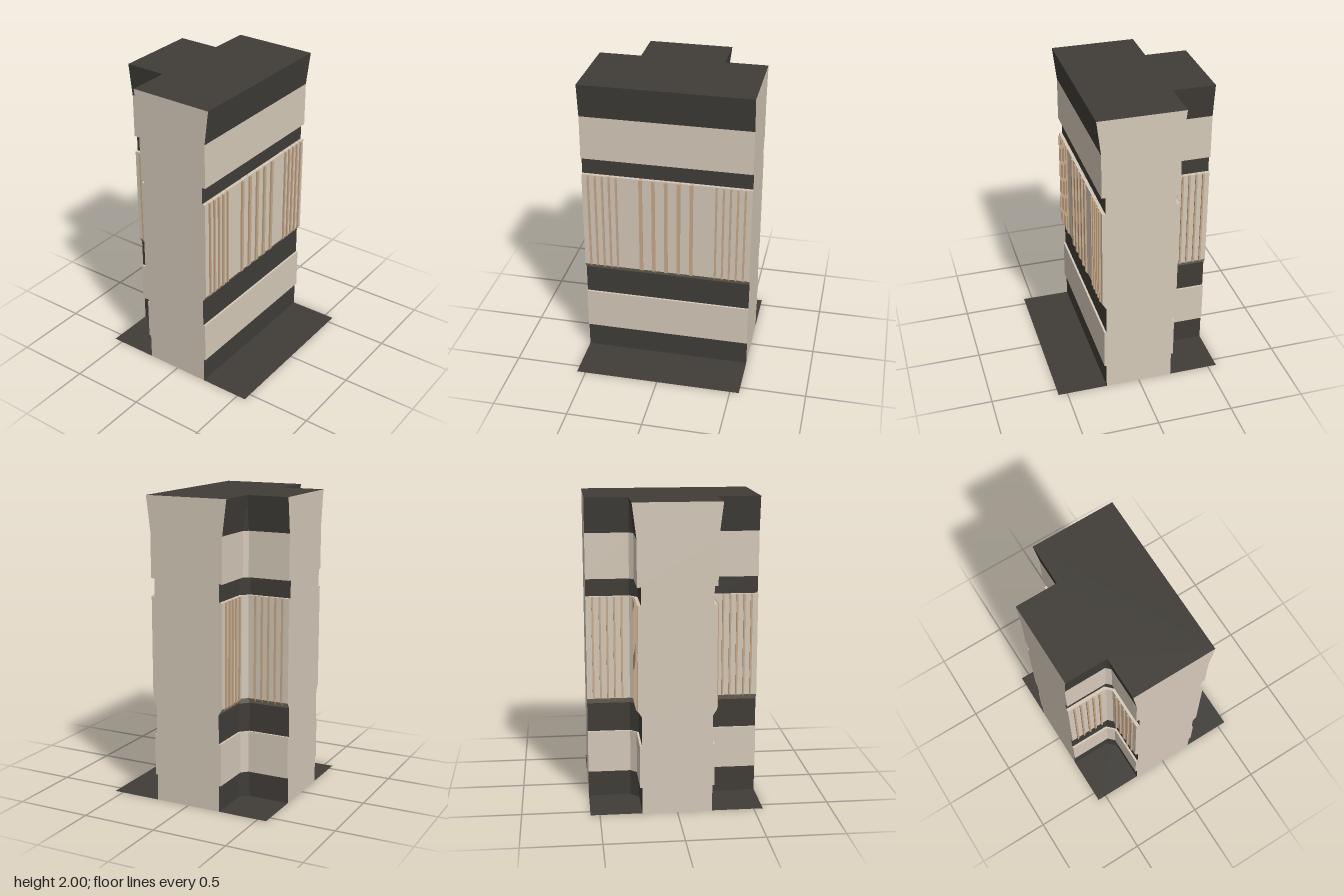
import * as THREE from 'three';

const HALF = 0.56, TOP = 0.28;
const BEIGE = 0xd5c9b9, DARK = 0x403d38, SILL = 0x8f8978, TAN = 0xc8a988;

const material = (color) => new THREE.MeshStandardMaterial({ color, flatShading: true });

// T-shaped plan with chamfered inner corners; w is the half thickness of both arms
const plan = (w) => [
  [w, HALF], [w, -HALF], [-w, -HALF], [-w, -TOP], [-TOP, -w],
  [-HALF, -w], [-HALF, w], [-TOP, w], [-w, TOP], [-w, HALF],
];
const END_EDGES = [1, 5, 9];

// Height, half thickness, and colour of the strip leading up to the next row
const ROWS = [
  [0, 0.226, DARK], [0.175, 0.226, BEIGE],
  [0.175, 0.24, BEIGE], [0.455, 0.24, BEIGE],
  [0.455, 0.226, DARK], [0.647, 0.226, SILL],
  [0.685, 0.25, BEIGE], [1.365, 0.25, BEIGE],
  [1.365, 0.228, DARK], [1.48, 0.228, BEIGE],
  [1.48, 0.252, BEIGE], [1.775, 0.252, DARK],
  [2, TOP, DARK],
];

function createWalls() {
  const group = new THREE.Group();
  group.name = 'walls';
  const buckets = new Map([[BEIGE, []], [DARK, []], [SILL, []]]);
  for (let r = 0; r < ROWS.length - 1; r++) {
    const [y0, w0, color] = ROWS[r];
    const [y1, w1] = ROWS[r + 1];
    const lower = plan(w0), upper = plan(w1);
    lower.forEach((p, i) => {
      const j = (i + 1) % lower.length;
      const a = [p[0], y0, p[1]], b = [lower[j][0], y0, lower[j][1]];
      const c = [upper[j][0], y1, upper[j][1]], d = [upper[i][0], y1, upper[i][1]];
      // The three flat arm ends stay plain over the whole height
      const target = END_EDGES.includes(i) ? BEIGE : color;
      buckets.get(target).push(...a, ...b, ...c, ...a, ...c, ...d);
    });
  }
  const names = { [BEIGE]: 'wallFaces', [DARK]: 'darkBands', [SILL]: 'panelSill' };
  for (const [color, points] of buckets) {
    const geometry = new THREE.BufferGeometry();
    geometry.setAttribute('position', new THREE.Float32BufferAttribute(points, 3));
    geometry.computeVertexNormals();
    const mesh = new THREE.Mesh(geometry, material(color));
    mesh.name = names[color];
    group.add(mesh);
  }
  return group;
}

// Upright bar: local z is the distance from the wall's centre plane
function barGeometry(width, bottom, tipScale) {
  const front = 0.262, back = 0.23;
  const geometry = new THREE.BoxGeometry(width, 2, front - back, 1, 2, 1);
  const p = geometry.attributes.position;
  for (let i = 0; i < p.count; i++) {
    const level = p.getY(i), outer = p.getZ(i) > 0;
    const isTip = level < -0.5;
    p.setY(i, level > 0.5 ? 1.365 : isTip ? bottom : 0.688);
    p.setZ(i, outer ? (isTip ? 0.226 + (bottom - 0.647) * 0.63 + 0.004 : front) : back);
    if (isTip) p.setX(i, p.getX(i) * tipScale);
  }
  geometry.computeVertexNormals();
  return geometry;
}

function createBars() {
  const group = new THREE.Group();
  group.name = 'panelBars';
  const mat = material(TAN);
  const narrow = barGeometry(0.012, 0.66, 0.05);
  const wide = barGeometry(0.022, 0.672, 1);
  const narrowSpots = [0.33, 0.377, 0.423, 0.47, 0.517];
  const wideSpots = [-0.168, -0.084, 0, 0.084, 0.168];

  const add = (geometry, name, turn, x, z) => {
    const bar = new THREE.Mesh(geometry, mat);
    bar.name = name;
    bar.rotation.y = turn;
    bar.position.set(x, 0, z);
    group.add(bar);
  };
  for (const s of narrowSpots) {
    for (const side of [-1, 1]) {
      add(narrow, 'longWallBar', Math.PI / 2, 0, side * s);
      add(narrow, 'innerWallBar', -Math.PI / 2, 0, side * s);
      add(narrow, 'stemBar', side > 0 ? 0 : Math.PI, -s, 0);
    }
  }
  for (const s of wideSpots) add(wide, 'wideBar', Math.PI / 2, 0, s);
  return group;
}

export function createModel() {
  const model = new THREE.Group();
  model.name = 'wallJunction';
  model.add(createWalls(), createBars());

  // Flat T-shaped top
  const shape = new THREE.Shape(plan(TOP).map(([x, z]) => new THREE.Vector2(x, -z)));
  const top = new THREE.Mesh(new THREE.ShapeGeometry(shape), material(DARK));
  top.name = 'topCap';
  top.rotation.x = -Math.PI / 2;
  top.position.y = 2;

  // Thin square floor under the whole piece
  const floorMaterial = material(DARK);
  floorMaterial.side = THREE.DoubleSide;
  const floor = new THREE.Mesh(new THREE.PlaneGeometry(2 * HALF, 2 * HALF), floorMaterial);
  floor.name = 'floorPlate';
  floor.rotation.x = -Math.PI / 2;

  model.add(top, floor);
  return model;
}
